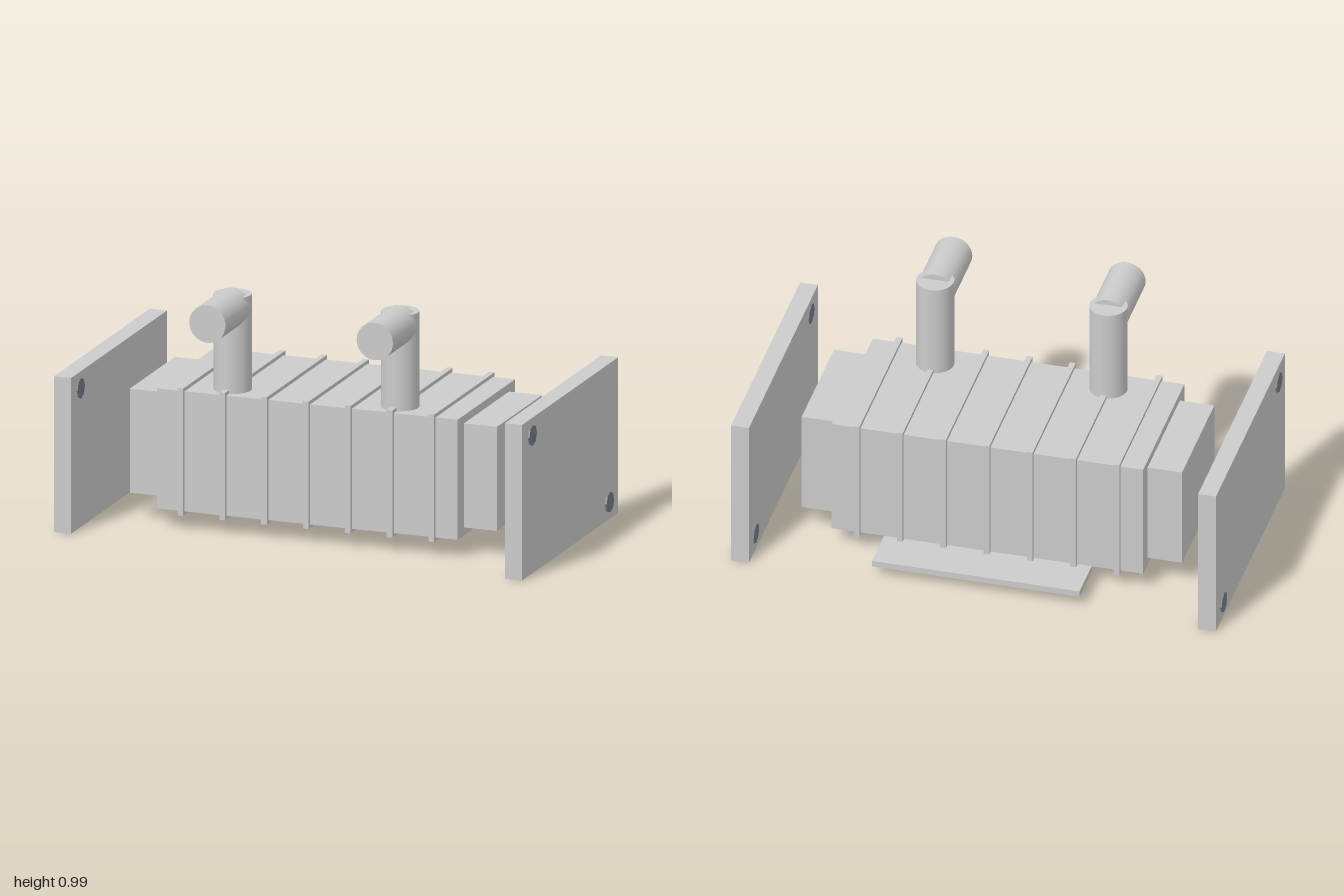
import * as THREE from 'three';

export function createModel() {
  const model = new THREE.Group();
  const grey = new THREE.MeshStandardMaterial({ color: 0xcccccc });
  const steel = new THREE.MeshStandardMaterial({ color: 0x737d86, flatShading: true });

  const add = (name, geometry, x, y, z, material = grey) => {
    const mesh = new THREE.Mesh(geometry, material);
    mesh.name = name;
    mesh.position.set(x, y, z);
    model.add(mesh);
    return mesh;
  };
  const box = (w, h, d) => new THREE.BoxGeometry(w, h, d);

  // Main casing, with raised bands wrapped around it
  const midY = 0.323;
  add('casing', box(1.276, 0.494, 0.634), 0, midY, 0);
  for (let i = -3; i <= 3; i++) {
    add('band', box(0.024, 0.524, 0.666), i * 0.1775, midY, 0);
  }

  // Shelf sticking out under the back edge
  add('backShelf', box(0.85, 0.026, 0.19), 0, 0.058, -0.401);

  for (const side of [-1, 1]) {
    // Narrower end block and detached end plate
    add('endBlock', box(0.142, 0.428, 0.498), side * 0.708, midY, 0);
    add('endPlate', box(0.073, 0.64, 1.062), side * 0.9565, 0.32, 0);

    // Octagonal bolts through opposite corners of the plate
    for (const end of [-1, 1]) {
      const bolt = add('bolt', new THREE.CylinderGeometry(0.042, 0.042, 0.083, 8),
        side * 0.9585, 0.322 + end * 0.249, end * 0.426, steel);
      bolt.rotation.z = Math.PI / 2;
    }

    // Upright pipe with a forward outlet
    const x = side * 0.355, z = 0.214, r = 0.076;
    add('uprightPipe', new THREE.CylinderGeometry(r, r, 0.42, 32), x, 0.753, z);
    const outlet = add('outletPipe', new THREE.CylinderGeometry(r + 0.001, r + 0.001, 0.282, 32),
      x, 0.91, z + 0.141);
    outlet.rotation.x = Math.PI / 2;
  }

  return model;
}
